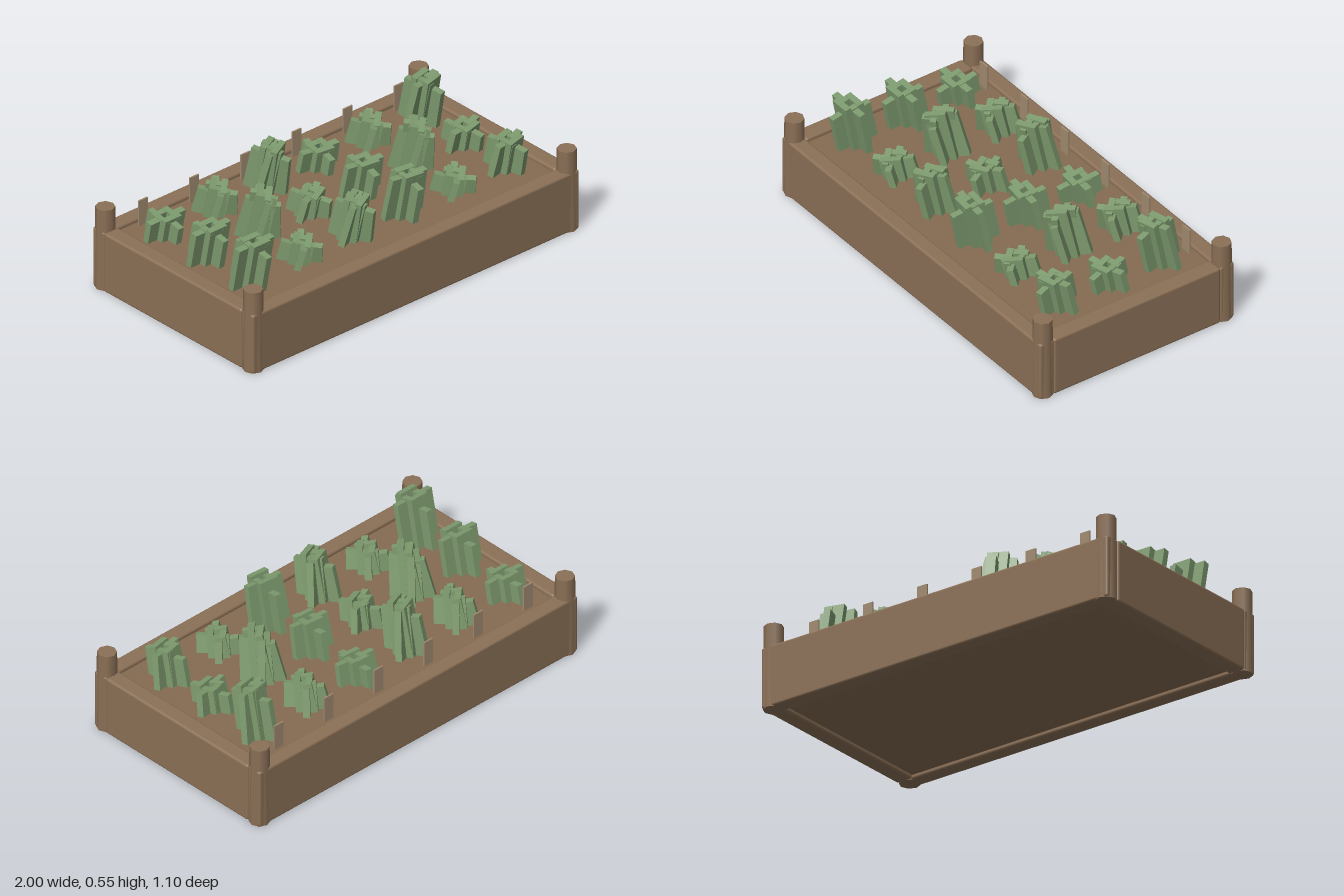
import * as THREE from 'three';
import { RoundedBoxGeometry } from 'three/addons/geometries/RoundedBoxGeometry.js';

const wood = new THREE.MeshStandardMaterial({ color: 0x8b7056 });
const soilMat = new THREE.MeshStandardMaterial({ color: 0x866b52 });
const tagMat = new THREE.MeshStandardMaterial({ color: 0xa08a70 });
const leafMat = new THREE.MeshStandardMaterial({ color: 0x7d9a6e, flatShading: true });

const SOIL_Y = 0.285;
const COLUMNS = [-0.78, -0.47, -0.16, 0.15, 0.46, 0.77];
const ROWS = [0.275, -0.01, -0.3];
// Plant heights per column, front row to back row
const HEIGHTS = [
  [0.25, 0.20, 0.12], [0.12, 0.26, 0.16], [0.23, 0.13, 0.26],
  [0.25, 0.18, 0.12], [0.11, 0.26, 0.15], [0.18, 0.12, 0.26],
];
const TURNS = [0, 0.75, 0.42, -0.1, 0.75, 0.22];

function add(parent, name, geometry, material, x, y, z) {
  const mesh = new THREE.Mesh(geometry, material);
  mesh.name = name;
  mesh.position.set(x, y, z);
  parent.add(mesh);
  return mesh;
}

// A clump of flat upright blades: an inner square of tall ones, an outer cross of shorter ones
function createPlant(height, turn) {
  const plant = new THREE.Group();
  plant.name = 'plant';
  const blade = (radius, angle, width, depth, h) => {
    const x = Math.sin(angle) * radius, z = Math.cos(angle) * radius;
    const geometry = new THREE.BoxGeometry(width, h, depth).translate(0, h / 2, 0);
    const leaf = add(plant, 'leaf', geometry, leafMat, x, 0, z);
    leaf.rotation.set(0.2, angle, 3.5 * x * Math.abs(Math.sin(2 * turn)), 'ZXY');
  };
  for (let i = 0; i < 4; i++) {
    const angle = turn + i * Math.PI / 2;
    blade(0.035, angle, 0.1, 0.03, height * (i % 2 ? 0.96 : 1));
    blade(0.068, angle, 0.032, 0.075, height * (i % 2 ? 0.93 : 0.8));
  }
  return plant;
}

export function createModel() {
  const model = new THREE.Group();
  model.name = 'raisedGardenBed';

  // Frame boards and corner posts
  for (const s of [-1, 1]) {
    add(model, 'longBoard', new RoundedBoxGeometry(1.98, 0.305, 0.08, 2, 0.012), wood, 0, 0.1525, s * 0.503);
    add(model, 'endBoard', new RoundedBoxGeometry(0.085, 0.305, 0.93, 2, 0.012), wood, s * 0.95, 0.1525, 0);
    for (const t of [-1, 1]) {
      add(model, 'cornerPost', new THREE.CylinderGeometry(0.046, 0.05, 0.415, 8), wood, s * 0.95, 0.2075, t * 0.5);
    }
  }

  // Soil fill
  add(model, 'soil', new THREE.BoxGeometry(1.84, 0.265, 0.95), soilMat, 0, SOIL_Y - 0.1325, 0);

  // Plants, with a marker at the back of each column
  COLUMNS.forEach((x, c) => {
    ROWS.forEach((z, r) => {
      const plant = createPlant(HEIGHTS[c][r], TURNS[c]);
      plant.position.set(x, SOIL_Y, z);
      model.add(plant);
    });
    add(model, 'plantMarker', new THREE.BoxGeometry(0.055, 0.15, 0.008), tagMat, x, 0.34, -0.435);
  });
  return model;
}
